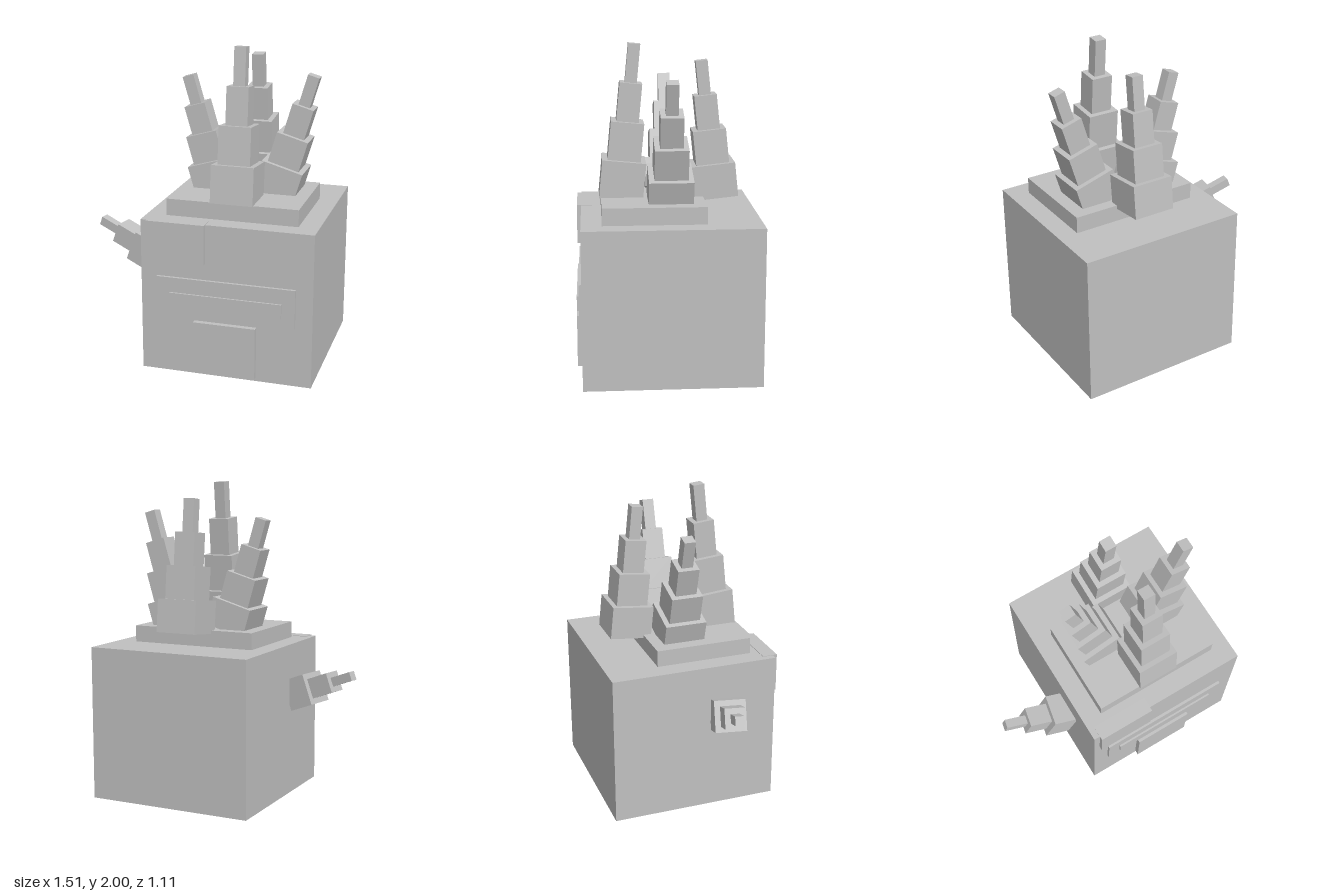
import * as THREE from 'three';

const DEG = Math.PI / 180;

export function createModel() {
  const model = new THREE.Group();
  const grey = new THREE.MeshStandardMaterial({ color: 0xc0c0c0 });
  grey.name = 'grey';

  // Box given by its lower and upper corners
  function block(name, [x0, y0, z0], [x1, y1, z1]) {
    const mesh = new THREE.Mesh(new THREE.BoxGeometry(x1 - x0, y1 - y0, z1 - z0), grey);
    mesh.name = name;
    mesh.position.set((x0 + x1) / 2, (y0 + y1) / 2, (z0 + z1) / 2);
    model.add(mesh);
  }

  // Stack of ever narrower square blocks, tilted as a whole
  function spire(name, base, tilt, widths, lengths) {
    const group = new THREE.Group();
    group.name = name;
    let y = 0;
    widths.forEach((w, i) => {
      const mesh = new THREE.Mesh(new THREE.BoxGeometry(w, lengths[i], w), grey);
      mesh.name = `${name}Segment${i + 1}`;
      mesh.position.y = y + lengths[i] / 2;
      y += lengths[i];
      group.add(mesh);
    });
    group.position.set(...base);
    group.rotation.set(tilt[0] * DEG, tilt[1] * DEG, tilt[2] * DEG, 'YZX');
    model.add(group);
  }

  // Body and the slab on top of it
  block('body', [-0.32, 0, -0.555], [0.757, 0.975, 0.522]);
  block('topSlab', [-0.196, 0.975, -0.224], [0.632, 1.08, 0.398]);

  // Raised panels on the front
  block('cornerPanel', [-0.28, 0.73, 0.453], [0.09, 0.978, 0.549]);
  block('widePanel', [-0.216, 0.375, 0.5], [0.652, 0.625, 0.54]);
  block('widePanelBar', [-0.134, 0.44, 0.5], [0.57, 0.53, 0.552]);
  block('lowerPanel', [0.021, 0.025, 0.5], [0.412, 0.354, 0.555]);

  // Four spires on the slab
  const widths = [0.267, 0.202, 0.137, 0.073];
  const even = (h) => [h, h, h, h];
  spire('frontSpire', [0.218, 1.065, 0.277], [-5.5, 0, 0], widths, even(0.235));
  spire('backSpire', [0.218, 1.067, -0.307], [6.1, 0, 0], widths, even(0.209));
  spire('rightSpire', [0.03, 1.071, -0.016], [0, 0, 16.4], widths, even(0.183));
  spire('leftSpire', [0.403, 1.066, -0.016], [0, 0, -16.4], widths, even(0.194));

  // Stepped arm on the right side
  spire('sideArm', [-0.32, 0.64, 0.187], [0, -11.3, 69], [0.2, 0.128, 0.057], [0.165, 0.15, 0.145]);

  return model;
}
